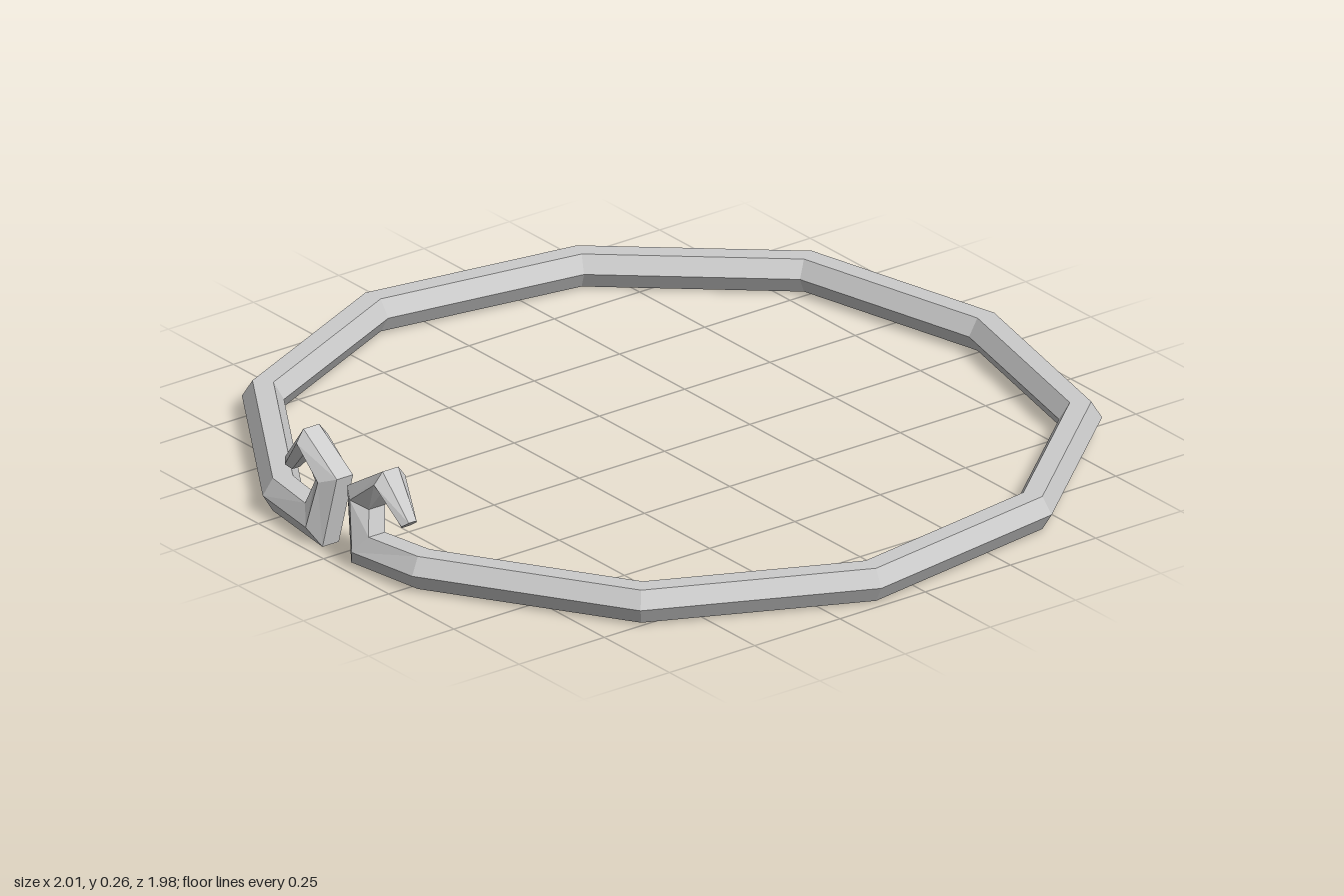
import * as THREE from 'three';

const R = 0.048, MID_Y = 0.047, SIDES = 6;

// Hexagonal section around centre c, spanned by a side vector h and a height vector v
function section(c, h, v) {
  return Array.from({ length: SIDES }, (_, k) => {
    const a = (k / SIDES) * Math.PI * 2;
    return c.clone().addScaledVector(h, Math.cos(a)).addScaledVector(v, Math.sin(a));
  });
}

// Skin consecutive sections with quads and close both ends
function loft(sections) {
  const pos = [];
  const tri = (...pts) => pts.forEach((p) => pos.push(p.x, p.y, p.z));
  for (let i = 0; i < sections.length - 1; i++) {
    for (let k = 0; k < SIDES; k++) {
      const n = (k + 1) % SIDES;
      const a = sections[i][k], b = sections[i][n];
      const c = sections[i + 1][n], d = sections[i + 1][k];
      tri(a, b, d);
      tri(b, c, d);
    }
  }
  const first = sections[0], last = sections[sections.length - 1];
  for (let k = 1; k < SIDES - 1; k++) {
    tri(first[0], first[k + 1], first[k]);
    tri(last[0], last[k], last[k + 1]);
  }
  const geo = new THREE.BufferGeometry();
  geo.setAttribute('position', new THREE.Float32BufferAttribute(pos, 3));
  geo.computeVertexNormals();
  return geo;
}

export function createModel() {
  // Half of the hoop's centre line (x, z), from the back to the front
  const hoop = [[0, -0.942], [0.523, -0.82], [0.87, -0.415], [0.955, 0.125],
    [0.727, 0.622], [0.27, 0.913], [0.09, 0.935]].map((p) => new THREE.Vector2(...p));
  const half = [];
  for (let i = 0; i < hoop.length - 1; i++) {
    const prev = i ? hoop[i - 1] : new THREE.Vector2(-hoop[1].x, hoop[1].y);
    const d1 = hoop[i].clone().sub(prev).normalize();
    const d2 = hoop[i + 1].clone().sub(hoop[i]).normalize();
    const t = d1.clone().add(d2).normalize();
    const miter = R / t.dot(d1);
    half.push(section(
      new THREE.Vector3(hoop[i].x, MID_Y, hoop[i].y),
      new THREE.Vector3(t.y * miter, 0, -t.x * miter),
      new THREE.Vector3(0, R, 0)));
  }

  // Curled finial: outer x, y, inner x, y, centre z, half width
  const curl = [
    [0.055, 0.0, 0.122, 0.088, 0.937, 0.048],
    [0.02, 0.18, 0.103, 0.148, 0.922, 0.048],
    [0.152, 0.262, 0.146, 0.203, 0.92, 0.046],
    [0.237, 0.157, 0.21, 0.135, 0.92, 0.023],
  ];
  for (const [ox, oy, ix, iy, z, w] of curl) {
    half.push(section(
      new THREE.Vector3((ox + ix) / 2, (oy + iy) / 2, z),
      new THREE.Vector3(0, 0, w),
      new THREE.Vector3(ix - ox, iy - oy, 0).multiplyScalar(0.5 / Math.sin(Math.PI / 3))));
  }

  // Mirror the half, leaving out the shared back section
  const mirrored = half.slice(1).reverse().map((s) => s.map((p) => new THREE.Vector3(-p.x, p.y, p.z)));
  const material = new THREE.MeshStandardMaterial({ color: 0xcccccc, flatShading: true });
  const ring = new THREE.Mesh(loft([...mirrored, ...half]), material);
  ring.name = 'openRingWithCurledEnds';

  const group = new THREE.Group();
  group.name = 'neckRing';
  group.add(ring);
  return group;
}
